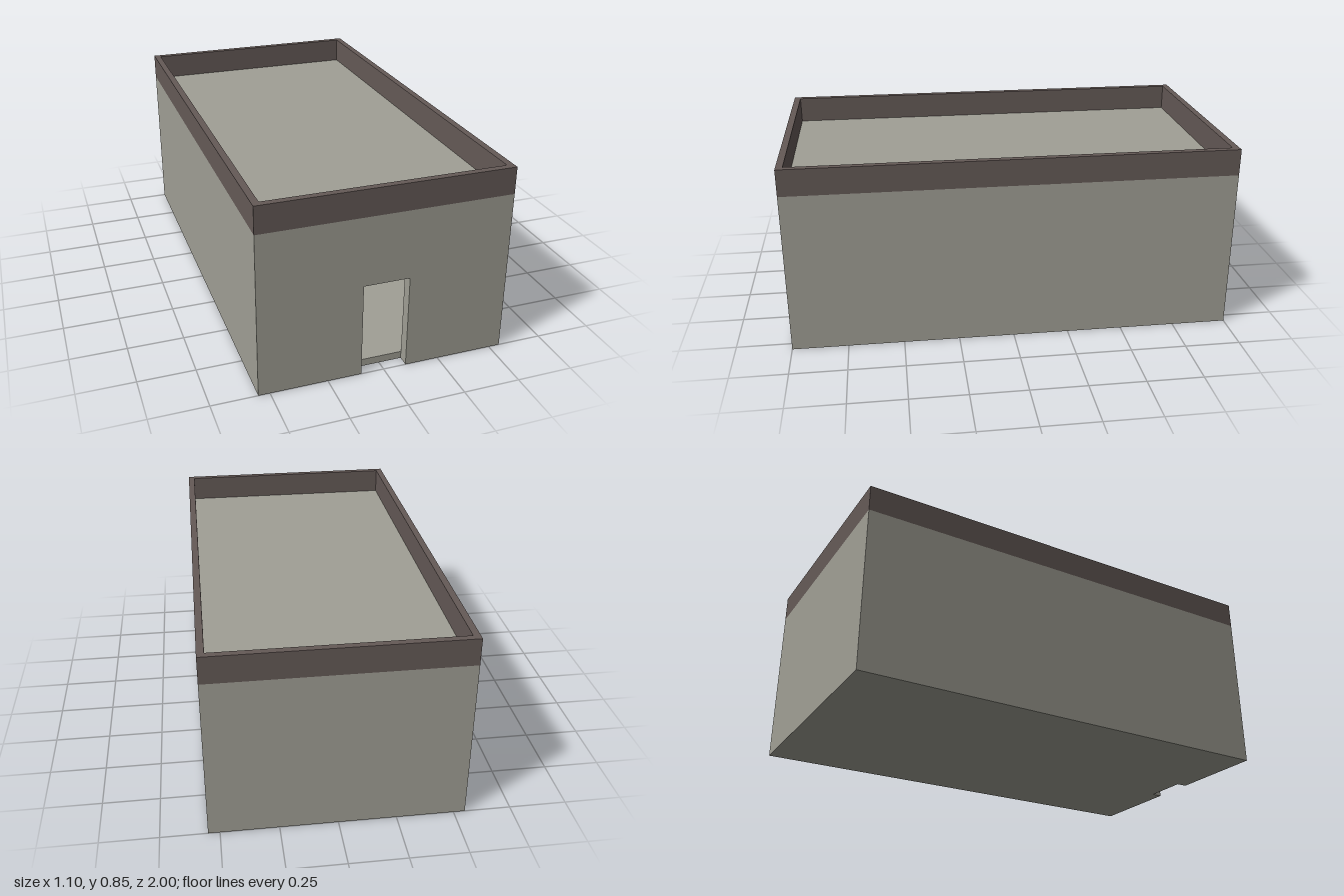
import * as THREE from 'three';

const W = 0.55, D = 1;               // half width, half depth
const WALL = 0.05, RIM = 0.03;       // wall and parapet thickness
const ROOF = 0.733, TOP = 0.853;     // roof level, parapet top
const FLOOR = 0.033;
const DOOR_W = 0.101, DOOR_H = 0.424; // half width, height

const polygon = (points) => new THREE.Shape(points.map(([x, y]) => new THREE.Vector2(x, y)));

// Raise a plan shape (x, -z) from height y0 to y1
function raise(shape, y0, y1) {
  const geometry = new THREE.ExtrudeGeometry(shape, { depth: y1 - y0, bevelEnabled: false });
  return geometry.rotateX(-Math.PI / 2).translate(0, y0, 0);
}

export function createModel() {
  const group = new THREE.Group();
  const concrete = new THREE.MeshStandardMaterial({ color: 0xa09f95 });
  concrete.name = 'concrete';
  const trim = new THREE.MeshStandardMaterial({ color: 0x655a57 });
  trim.name = 'brownTrim';

  const add = (name, geometry, material) => {
    const mesh = new THREE.Mesh(geometry, material);
    mesh.name = name;
    group.add(mesh);
  };

  const ix = W - WALL, iz = D - WALL; // inside faces of the walls

  // Side and back walls: a U in plan, open towards the front
  add('sideAndBackWalls', raise(polygon([
    [-W, -iz], [-ix, -iz], [-ix, iz], [ix, iz],
    [ix, -iz], [W, -iz], [W, D], [-W, D],
  ]), 0, ROOF), concrete);

  // Front wall with the doorway cut down to the ground
  const front = polygon([
    [-W, 0], [-DOOR_W, 0], [-DOOR_W, DOOR_H], [DOOR_W, DOOR_H],
    [DOOR_W, 0], [W, 0], [W, ROOF], [-W, ROOF],
  ]);
  add('frontWall', new THREE.ExtrudeGeometry(front, { depth: WALL, bevelEnabled: false })
    .translate(0, 0, iz), concrete);

  // Floor and roof slabs fitted between the walls
  const slab = (bottom, top) => new THREE.BoxGeometry(ix * 2, top - bottom, iz * 2)
    .translate(0, (bottom + top) / 2, 0);
  add('floor', slab(0, FLOOR), concrete);
  add('roof', slab(ROOF - 0.04, ROOF), concrete);

  // Parapet ring flush with the outside of the walls
  const ring = polygon([[-W, -D], [W, -D], [W, D], [-W, D]]);
  const px = W - RIM, pz = D - RIM;
  ring.holes.push(polygon([[-px, -pz], [-px, pz], [px, pz], [px, -pz]]));
  add('parapet', raise(ring, ROOF, TOP), trim);

  return group;
}
